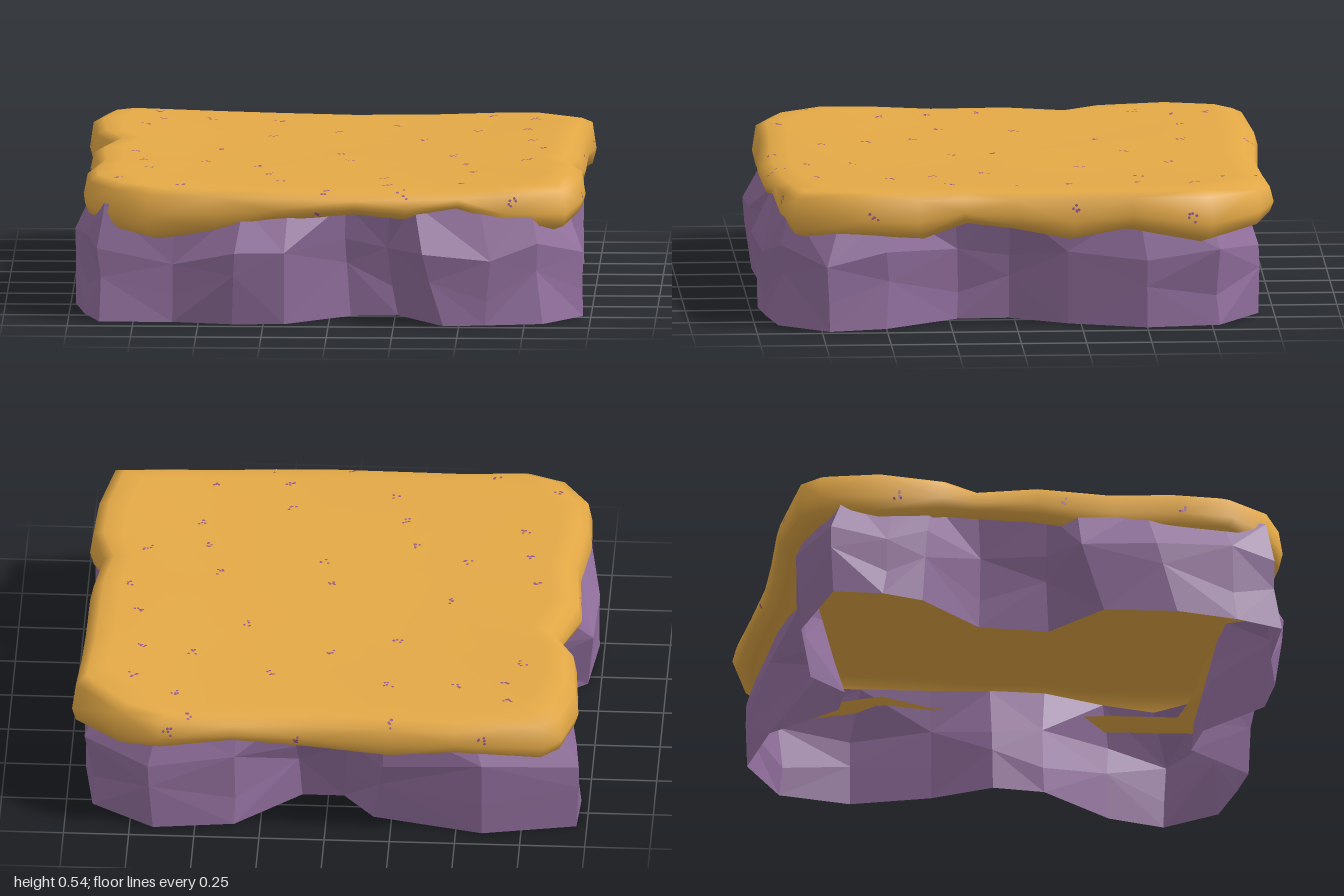
import * as THREE from 'three';

const rock = new THREE.MeshStandardMaterial({ color: 0x93709f, flatShading: true, side: THREE.DoubleSide });
rock.name = 'purple rock';
const sand = new THREE.MeshStandardMaterial({ color: 0xe4a946, side: THREE.DoubleSide });
sand.name = 'ochre sand';
const grit = new THREE.MeshStandardMaterial({ color: 0x96588f, side: THREE.DoubleSide });
grit.name = 'plum grit';

// Small repeatable noise source
function seeded(seed) {
  return () => {
    seed = (seed * 16807) % 2147483647;
    return seed / 2147483647;
  };
}

// Joins closed rings of [x, y, z] points, listed from the lowest to the innermost
function loft(rings, capCenter) {
  const n = rings[0].length;
  const position = rings.flat(2);
  const index = [];
  for (let r = 0; r < rings.length - 1; r++) {
    for (let i = 0; i < n; i++) {
      const a = r * n + i, b = r * n + (i + 1) % n;
      // Alternate the diagonal for a chipped look
      if ((i + r) % 2) index.push(a, b, b + n, a, b + n, a + n);
      else index.push(a, b, a + n, b, b + n, a + n);
    }
  }
  if (capCenter) {
    const last = (rings.length - 1) * n;
    position.push(...capCenter);
    for (let i = 0; i < n; i++) index.push(last + i, last + (i + 1) % n, rings.length * n);
  }
  const g = new THREE.BufferGeometry();
  g.setAttribute('position', new THREE.Float32BufferAttribute(position, 3));
  g.setIndex(index);
  g.computeVertexNormals();
  return g;
}

// Foot of the cliff [x, z]: four bulging corners with a waist on each side
const foot = [
  [-0.88, 0.9], [-0.6, 0.9], [-0.37, 0.95], [-0.17, 0.94], [0.08, 0.74], [0.26, 0.72],
  [0.44, 0.97], [0.6, 0.95], [0.82, 0.91], [0.97, 0.72], [0.92, 0.5], [0.72, 0.22],
  [0.71, 0.02], [0.84, -0.2], [0.94, -0.5], [0.9, -0.78], [0.66, -0.94], [0.35, -0.9],
  [0.1, -0.67], [-0.06, -0.67], [-0.18, -0.82], [-0.6, -0.92], [-0.96, -0.85], [-0.97, -0.66],
  [-0.93, -0.5], [-0.72, -0.25], [-0.72, 0.02], [-0.95, 0.2], [-0.98, 0.48], [-0.94, 0.72],
];

// Broken ledge above it [x, y, z], where the wall turns in under the sand
const ledge = [
  [-0.89, 0.28, 0.87], [-0.6, 0.22, 0.88], [-0.36, 0.28, 0.985], [-0.17, 0.28, 0.97], [0.06, 0.31, 0.8],
  [0.22, 0.27, 0.77], [0.36, 0.28, 0.99], [0.62, 0.25, 0.96], [0.8, 0.31, 0.9], [0.97, 0.25, 0.73],
  [0.93, 0.3, 0.5], [0.76, 0.28, 0.22], [0.74, 0.25, 0.02], [0.84, 0.28, -0.2], [0.94, 0.26, -0.5],
  [0.93, 0.3, -0.78], [0.68, 0.27, -0.94], [0.35, 0.3, -0.9], [0.12, 0.27, -0.76], [-0.08, 0.29, -0.76],
  [-0.22, 0.26, -0.88], [-0.6, 0.31, -0.94], [-0.97, 0.27, -0.86], [-0.95, 0.24, -0.64], [-0.92, 0.3, -0.48],
  [-0.76, 0.27, -0.25], [-0.78, 0.29, 0], [-0.975, 0.26, 0.11], [-0.985, 0.28, 0.4], [-0.94, 0.31, 0.7],
];

// Rim of the sand layer [x, z, height of its drooping lip]
const rim = [
  [-0.94, 0.7, 0.37], [-0.84, 0.86, 0.34], [-0.7, 0.93, 0.32], [-0.45, 0.93, 0.35], [-0.22, 0.94, 0.39],
  [0.1, 0.95, 0.42], [0.3, 0.94, 0.4], [0.5, 0.92, 0.43], [0.68, 0.9, 0.36], [0.91, 0.86, 0.35],
  [0.96, 0.6, 0.36], [0.97, 0.38, 0.35], [0.92, 0.2, 0.4], [0.95, 0, 0.38], [0.955, -0.22, 0.34],
  [0.96, -0.45, 0.38], [0.98, -0.75, 0.33], [0.8, -0.94, 0.35], [0.64, -1, 0.37], [0.36, -0.985, 0.4],
  [0.05, -0.97, 0.37], [-0.25, -0.985, 0.35], [-0.5, -1, 0.38], [-0.84, -0.97, 0.35], [-0.91, -0.9, 0.35],
  [-0.96, -0.7, 0.34], [-0.94, -0.43, 0.38], [-0.87, -0.29, 0.41], [-0.94, -0.05, 0.38], [-0.92, 0.25, 0.36],
  [-0.95, 0.5, 0.37],
];

// Faceted, open-bottomed cliff wall
function cliffGeometry() {
  const rand = seeded(41);
  const jitter = (s) => (rand() - 0.5) * s;
  const base = foot.map(([x, z]) => [x, 0, z]);
  const middle = foot.map(([x, z], i) => {
    const [lx, ly, lz] = ledge[i];
    const t = (i % 2 ? 0.4 : 0.65) + jitter(0.1), k = 0.99 + jitter(0.03);
    return [THREE.MathUtils.lerp(x, lx, t) * k, ly * t, THREE.MathUtils.lerp(z, lz, t) * k];
  });
  // The crest is tucked up inside the sand
  const crest = ledge.map(([x, , z]) => {
    const k = THREE.MathUtils.lerp(0.95, 0.87 / Math.max(Math.abs(x), Math.abs(z)), 0.6);
    return [x * k, 0.455 + jitter(0.02), z * k];
  });
  return loft([base, middle, ledge, crest]);
}

// Soft sand sheet: lip turned under, rounded edge, nearly flat top
function sandGeometry() {
  const swell = (x, z) =>
    0.02 * Math.max(0, Math.abs(x) - 0.55) / 0.4 + 0.006 * Math.sin(3.1 * x + 1) * Math.cos(3.7 * z);
  const ring = (k, height) => rim.map(([x, z, lip]) => [x * k, height(lip, x * k, z * k), z * k]);
  return loft([
    ring(0.87, (lip) => lip + 0.035),
    ring(0.94, (lip) => lip),
    ring(0.985, (lip) => lip + 0.02),
    ring(1, (lip) => 0.6 * lip + 0.4 * 0.52),
    ring(0.985, (lip, x, z) => 0.485 + swell(x, z)),
    ring(0.945, (lip, x, z) => 0.509 + swell(x, z)),
    ring(0.87, (lip, x, z) => 0.518 + swell(x, z)),
    ring(0.6, (lip, x, z) => 0.513 + swell(x, z)),
    ring(0.3, (lip, x, z) => 0.51 + swell(x, z)),
  ], [0, 0.51, 0]);
}

// Centres of the grit clusters on top [x, z]
const gritSpots = [
  [-0.69, -0.81], [-0.26, -0.95], [0.53, -0.95], [0.58, -0.8], [-0.68, -0.68], [-0.49, -0.7], [-0.23, -0.69],
  [0.23, -0.62], [0.75, -0.69], [-0.74, -0.53], [0, -0.46], [0.53, -0.49], [0.73, -0.47], [-0.25, -0.37],
  [0.34, -0.27], [-0.43, -0.06], [0.75, -0.2], [0.02, 0.04], [0.45, 0.1], [-0.76, 0.06],
  [0.79, -0.02], [0.06, 0.21], [-0.49, 0.23], [-0.73, 0.26], [0.5, 0.3], [0.74, 0.25], [-0.28, 0.34],
  [-0.7, 0.45], [-0.23, 0.52], [0.55, 0.47], [0.2, 0.59], [-0.19, 0.69], [0.5, 0.75], [0.22, 0.77],
  [-0.81, 0.73], [-0.57, 0.84], [-0.02, 0.89],
];

// Clusters on the edge [position along the side, y], for each facing direction
const edgeSpots = [
  { facing: [0, 0, 1], spots: [[-0.05, 0.42], [0.28, 0.49], [0.7, 0.47]] },
  { facing: [1, 0, 0], spots: [[0.55, 0.44], [-0.22, 0.47], [-0.67, 0.43]] },
  { facing: [0, 0, -1], spots: [[-0.6, 0.45], [0.1, 0.43], [0.6, 0.46]] },
  { facing: [-1, 0, 0], spots: [[-0.6, 0.43], [0.05, 0.46], [0.5, 0.44]] },
];

export function createModel() {
  const model = new THREE.Group();
  model.name = 'groundTile';

  const cliff = new THREE.Mesh(cliffGeometry(), rock);
  cliff.name = 'cliffWall';
  const top = new THREE.Mesh(sandGeometry(), sand);
  top.name = 'sandTop';
  model.add(cliff, top);

  // Tiny flat grains resting on the sand
  const grains = new THREE.Group();
  grains.name = 'gritGrains';
  const rand = seeded(7);
  const grain = new THREE.CircleGeometry(0.006, 5);
  const ray = new THREE.Raycaster();
  const front = new THREE.Vector3(0, 0, 1);
  function scatter(center, facing) {
    for (let i = 0; i < 5; i++) {
      const offset = new THREE.Vector3(rand() - 0.5, rand() - 0.5, rand() - 0.5).multiplyScalar(0.036);
      ray.set(offset.add(center).addScaledVector(facing, 2), facing.clone().negate());
      const hit = ray.intersectObject(top)[0];
      if (!hit) continue;
      const speck = new THREE.Mesh(grain, grit);
      speck.name = 'grain';
      speck.quaternion.setFromUnitVectors(front, hit.face.normal);
      speck.position.copy(hit.point).addScaledVector(hit.face.normal, 0.002);
      grains.add(speck);
    }
  }
  for (const [x, z] of gritSpots) scatter(new THREE.Vector3(x, 0, z), new THREE.Vector3(0, 1, 0));
  for (const { facing, spots } of edgeSpots) {
    for (const [s, y] of spots) {
      scatter(new THREE.Vector3(facing[0] ? 0 : s, y, facing[0] ? s : 0), new THREE.Vector3(...facing));
    }
  }
  model.add(grains);
  return model;
}
